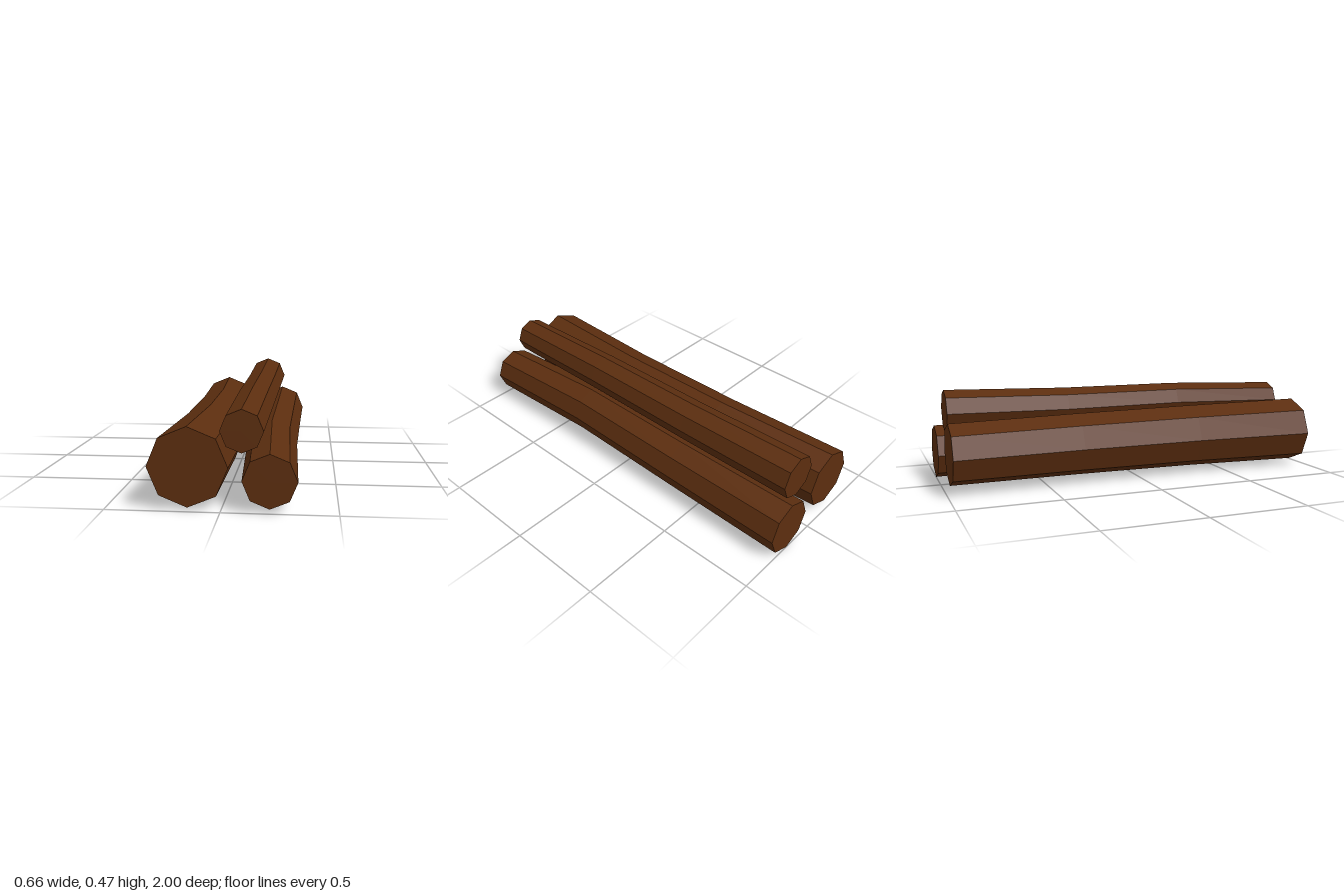
import * as THREE from 'three';

const bark = new THREE.MeshStandardMaterial({ color: 0x5c2e0f, flatShading: true });

// Octagonal log along z, bent and tapered through stations [x, y, radius] from back to front
function makeLog(name, halfLength, stations) {
  const geometry = new THREE.CylinderGeometry(1, 1, 2, 8, stations.length - 1);
  geometry.rotateX(Math.PI / 2);
  const pos = geometry.attributes.position;
  for (let i = 0; i < pos.count; i++) {
    const z = pos.getZ(i);
    const [cx, cy, r] = stations[Math.round((z + 1) / 2 * (stations.length - 1))];
    pos.setXYZ(i, cx + pos.getX(i) * r, cy + pos.getY(i) * r, z * halfLength);
  }
  geometry.computeVertexNormals();
  const mesh = new THREE.Mesh(geometry, bark);
  mesh.name = name;
  return mesh;
}

export function createModel() {
  const group = new THREE.Group();
  group.name = 'logPile';
  group.add(
    // thick log on the ground
    makeLog('thickLog', 0.978, [
      [-0.178, 0.188, 0.152], [-0.14, 0.188, 0.16], [-0.127, 0.188, 0.167], [-0.143, 0.188, 0.175],
    ]),
    // medium log beside it
    makeLog('mediumLog', 1, [
      [0.183, 0.139, 0.138], [0.182, 0.142, 0.131], [0.183, 0.156, 0.126], [0.209, 0.139, 0.118],
    ]),
    // thin log resting on top
    makeLog('thinLog', 0.957, [
      [0.087, 0.362, 0.11], [0.088, 0.353, 0.104], [0.09, 0.357, 0.1], [0.087, 0.342, 0.094],
    ]),
  );
  return group;
}
